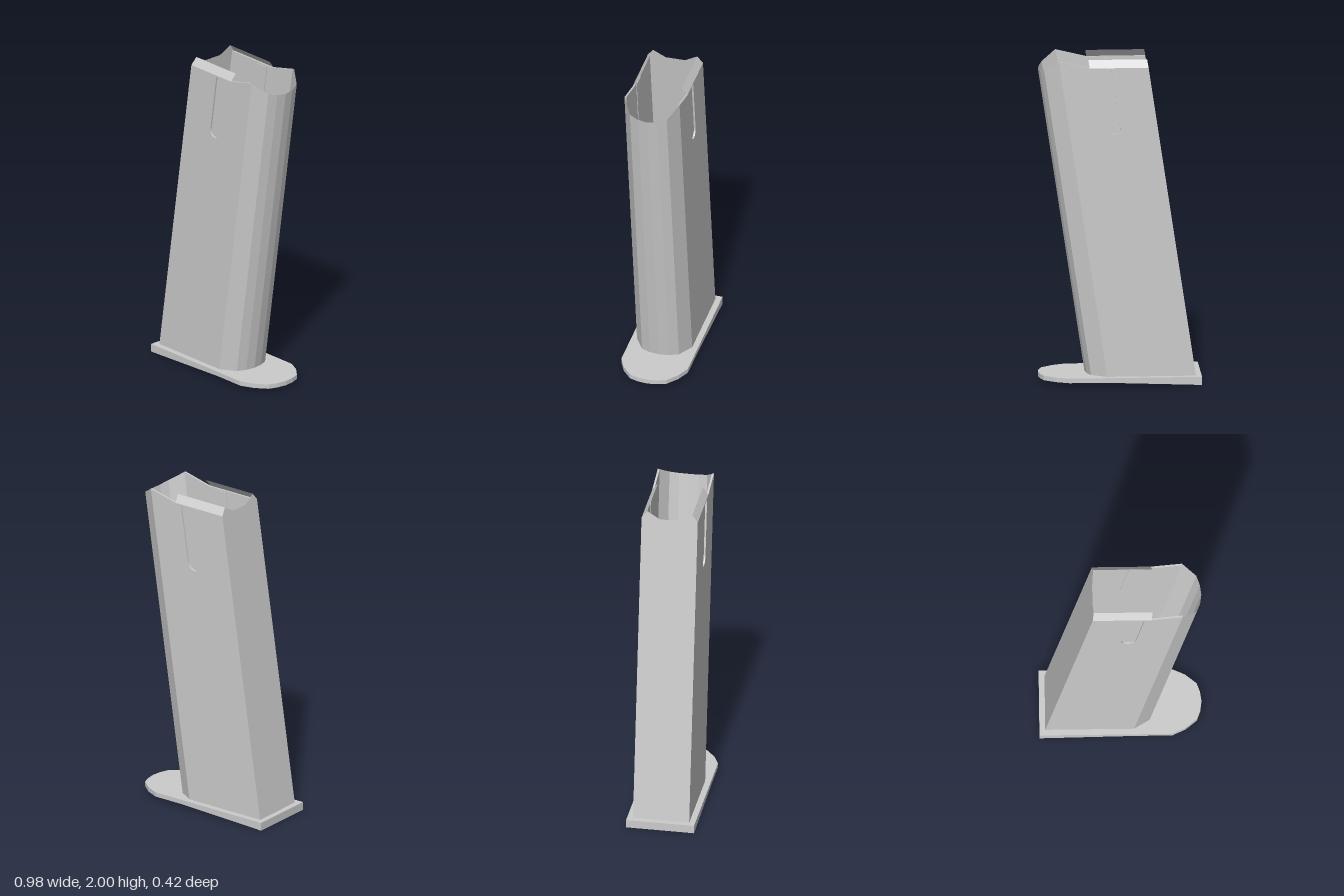
import * as THREE from 'three';

const BASE = 0.05;   // height of the plate's top face
const LEAN = 0.15;   // forward lean of the body per unit of height
const HALF = 0.172;  // half width of the body
const WALL = 0.012;
const BACK = -0.455;

const mat = new THREE.MeshStandardMaterial({ color: 0xcccccc, flatShading: true, side: THREE.DoubleSide });

function add(group, name, geometry) {
  const mesh = new THREE.Mesh(geometry, mat);
  mesh.name = name;
  group.add(mesh);
}

// Slides each vertex forward in proportion to its height
function lean(geometry) {
  const p = geometry.attributes.position;
  for (let i = 0; i < p.count; i++) p.setX(i, p.getX(i) + LEAN * (p.getY(i) - BASE));
  geometry.computeVertexNormals();
  return geometry;
}

// Sheet between two rows of [x, y, z] points
function sheet(lower, upper) {
  const v = [];
  for (let i = 0; i < lower.length - 1; i++) {
    const [a, b, c, d] = [lower[i], lower[i + 1], upper[i + 1], upper[i]];
    v.push(...a, ...b, ...c, ...a, ...c, ...d);
  }
  const g = new THREE.BufferGeometry();
  g.setAttribute('position', new THREE.Float32BufferAttribute(v, 3));
  return lean(g);
}

// Upright wall from the base to the height given by each [x, y, z] rim point
const wall = (rim) => sheet(rim.map(([x, , z]) => [x, BASE, z]), rim);

const shapeOf = (pts) => new THREE.Shape(pts.map(([x, y]) => new THREE.Vector2(x, y)));

const extrude = (shape, depth) => new THREE.ExtrudeGeometry(shape, { depth, bevelEnabled: false });

// Round-bottomed slot outline
function slotPoints() {
  const cx = -0.185, r = 0.045, top = 1.945, low = 1.59;
  const pts = [[cx - r, top]];
  for (let i = 0; i <= 8; i++) {
    const a = Math.PI + (i / 8) * Math.PI;
    pts.push([cx + r * Math.cos(a), low + r * Math.sin(a)]);
  }
  pts.push([cx + r, top]);
  return pts;
}

export function createModel() {
  const model = new THREE.Group();
  model.name = 'hollowCase';

  // Side walls with a recessed slot and an inward-bent lip
  for (const s of [1, -1]) {
    const side = s > 0 ? 'left' : 'right';
    const panel = shapeOf([[BACK, BASE], [0.08, BASE], [0.08, 2], [-0.1, 1.955], [BACK, 1.955]]);
    panel.holes.push(shapeOf(slotPoints()));
    add(model, side + 'SideWall', lean(extrude(panel, WALL).translate(0, 0, s > 0 ? HALF - WALL : -HALF)));

    const floor = extrude(shapeOf(slotPoints()), 0.005);
    add(model, side + 'SlotFloor', lean(floor.translate(0, 0, s > 0 ? 0.156 : -0.161)));

    const lip = [[BACK, -0.1].map((x) => [x, 1.955, s * HALF]), [BACK, -0.1].map((x) => [x, 2, s * 0.138])];
    add(model, side + 'Lip', s > 0 ? sheet(...lip) : sheet(...lip.map((r) => r.reverse())));
  }

  // Faceted front wall with a dipped rim
  const half = [[0.08, 2, HALF], [0.175, 1.94, 0.115], [0.198, 1.925, 0.06]];
  const mirrored = half.map(([x, y, z]) => [x, y, -z]).reverse();
  add(model, 'frontWall', wall([...half, [0.207, 1.92, 0], ...mirrored]));

  // Flat back wall with a notch between the lips
  const notch = [[-HALF, 1.955], [-0.138, 2], [-0.06, 1.955], [0.06, 1.955], [0.138, 2], [HALF, 1.955]];
  add(model, 'backWall', wall(notch.map(([z, y]) => [BACK, y, z])));

  // Base plate: tapering rear block and thin rounded toe
  const rear = shapeOf([[-0.49, 0], [0.1, 0.022], [0.1, BASE], [-0.49, BASE]]);
  add(model, 'basePlateRear', extrude(rear, 0.416).translate(0, 0, -0.208));

  const edge = [[0.1, 0.208], [0.31, 0.208], [0.39, 0.172], [0.46, 0.115], [0.48, 0.06]];
  const outline = [...edge, [0.488, 0], ...edge.map(([x, z]) => [x, -z]).reverse()];
  add(model, 'basePlateToe', extrude(shapeOf(outline), BASE - 0.022).rotateX(-Math.PI / 2).translate(0, 0.022, 0));

  // Rounded wedge under the plate
  const arc = [];
  for (let i = 0; i <= 14; i++) {
    const a = -Math.PI / 2 + (i / 14) * Math.PI;
    arc.push([0.1 + 0.175 * Math.cos(a), 0.2 * Math.sin(a)]);
  }
  const pad = extrude(shapeOf(arc), 0.002).rotateX(-Math.PI / 2).translate(0, 0.021, 0);
  const p = pad.attributes.position;
  for (let i = 0; i < p.count; i++) {
    if (p.getY(i) < 0.022) p.setY(i, 0.021 - 0.09 * (p.getX(i) - 0.1));
  }
  pad.computeVertexNormals();
  add(model, 'basePad', pad);

  return model;
}
